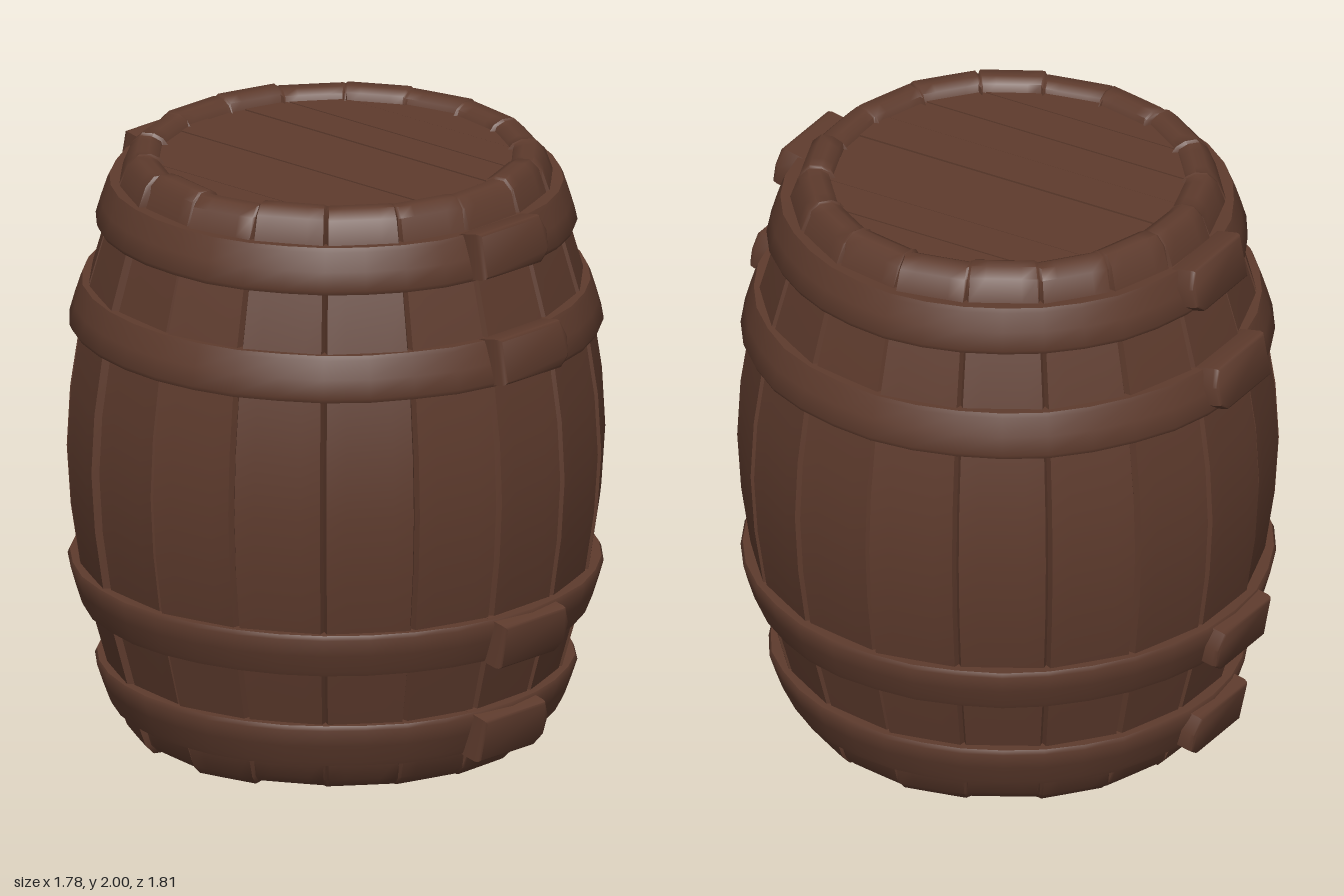
import * as THREE from 'three';
import { toCreasedNormals } from 'three/addons/utils/BufferGeometryUtils.js';

const STAVES = 18, STEP = (Math.PI * 2) / STAVES;

// Seeded random in -1..1
let seed = 11;
const rand = () => ((seed = (seed * 16807) % 2147483647) / 2147483647) * 2 - 1;

// Sweeps a profile round the y axis; point(i, j) gives [angle, radius, y]
function sweep(cols, rows, point, crease) {
  const pos = [], index = [];
  for (let j = 0; j < rows; j++) {
    for (let i = 0; i < cols; i++) {
      const [a, r, y] = point(i, j);
      pos.push(r * Math.sin(a), y, r * Math.cos(a));
      if (i < cols - 1 && j < rows - 1) {
        const k = j * cols + i;
        index.push(k, k + 1, k + cols + 1, k, k + cols + 1, k + cols);
      }
    }
  }
  const g = new THREE.BufferGeometry();
  g.setAttribute('position', new THREE.Float32BufferAttribute(pos, 3));
  g.setIndex(index);
  return toCreasedNormals(g, crease);
}

export function createModel() {
  const barrel = new THREE.Group();
  barrel.name = 'barrel';
  const wood = new THREE.MeshStandardMaterial({ color: 0x5e3b2d, side: THREE.DoubleSide });
  wood.name = 'dark brown wood';
  const add = (geometry, name, parent = barrel) => {
    const mesh = new THREE.Mesh(geometry, wood);
    mesh.name = name;
    parent.add(mesh);
    return mesh;
  };

  // Staves: bulging profile that rolls over the rim at both ends
  const profile = [
    [0.575, 0.06], [0.585, 0.025], [0.615, 0.01], [0.655, 0.01], [0.685, 0.04], [0.715, 0.12],
    [0.755, 0.27], [0.805, 0.45], [0.84, 0.6], [0.87, 0.8], [0.883, 1.0], [0.872, 1.2],
    [0.842, 1.4], [0.81, 1.55], [0.755, 1.74], [0.71, 1.89], [0.685, 1.96], [0.655, 1.99],
    [0.615, 1.99], [0.585, 1.975], [0.575, 1.94],
  ];
  const across = [-0.5, -0.465, -0.25, 0, 0.25, 0.465, 0.5];
  const staves = new THREE.Group();
  staves.name = 'staves';
  barrel.add(staves);
  for (let s = 0; s < STAVES; s++) {
    const swell = rand() * 0.006, lift = rand() * 0.01, lean = rand() * 0.01;
    add(sweep(across.length, profile.length, (i, j) => {
      const [r, y] = profile[j];
      const u = across[i], seam = i === 0 || i === across.length - 1;
      const rim = y < 0.05 || y > 1.95;
      const chord = 1 - 0.014 * (1 - 4 * u * u);
      const radius = r * chord + (seam ? (rim ? -0.008 : -0.024) : swell + lean * u);
      return [(s + u) * STEP, radius, y + (rim && !seam ? lift : 0)];
    }, 0.9), 'stave', staves);
  }

  // Heads: planks running front to back, cut to the round, over a backing disc
  const PLANKS = 8, R = 0.605;
  for (const [name, y, dir] of [['topHead', 1.945, 1], ['bottomHead', 0.055, -1]]) {
    const head = new THREE.Group();
    head.name = name;
    barrel.add(head);
    const disc = new THREE.CylinderGeometry(R, R, 0.02, 36);
    add(disc, 'headBacking', head).position.y = y - dir * 0.025;
    for (let p = 0; p < PLANKS; p++) {
      const x0 = -R + (2 * R * p) / PLANKS + 0.002, x1 = x0 + (2 * R) / PLANKS - 0.004;
      const edge = [];
      for (let k = 0; k <= 6; k++) {
        const x = x0 + ((x1 - x0) * k) / 6;
        edge.push(new THREE.Vector2(x, Math.sqrt(Math.max(0, R * R - x * x))));
      }
      const far = edge.map((v) => new THREE.Vector2(v.x, -v.y - 0.0005)).reverse();
      const plank = new THREE.ExtrudeGeometry(new THREE.Shape([...edge, ...far]), { depth: 0.02, bevelEnabled: false });
      plank.rotateX(-Math.PI / 2);
      add(plank, 'headPlank', head).position.y = y - 0.01 + rand() * 0.002;
    }
  }

  // Hoops: [bottom y, top y, bottom radius, top radius], each with two clasps
  const hoops = [
    [0.11, 0.26, 0.738, 0.78], [0.45, 0.6, 0.832, 0.868],
    [1.4, 1.55, 0.868, 0.832], [1.74, 1.89, 0.78, 0.742],
  ];
  for (const [y0, y1, r0, r1] of hoops) {
    const hoop = new THREE.Group();
    hoop.name = 'hoop';
    barrel.add(hoop);
    const h = y1 - y0, mid = (r0 + r1) / 2;
    const section = [
      [r0 - 0.06, y0 + 0.002], [r0 - 0.004, y0], [r0 + 0.003, y0 + 0.015], [mid + 0.004, y0 + h / 2],
      [r1 + 0.003, y1 - 0.015], [r1 - 0.004, y1], [r1 - 0.06, y1 - 0.002],
    ];
    const wobble = Array.from({ length: 36 }, () => rand() * 0.004);
    add(sweep(37, section.length, (i, j) => [
      (i * STEP) / 2, section[j][0] + wobble[i % 36], section[j][1],
    ], 0.9), 'hoopBand', hoop);

    // Clasps: overlapping strap ends, blunt on one side and rounded on the other
    for (const side of [1, -1]) {
      const outline = [
        [-0.155, -0.45], [0.1, -0.47], [0.135, -0.3], [0.142, 0.1], [0.12, 0.44], [-0.155, 0.45],
      ].map(([x, y]) => new THREE.Vector2(x * side, y * h));
      let strap = new THREE.ExtrudeGeometry(new THREE.Shape(outline), {
        depth: 0.07, bevelThickness: 0.018, bevelSize: 0.01, bevelSegments: 2,
      });
      strap = toCreasedNormals(strap, 0.8);
      const pivot = new THREE.Group();
      pivot.name = side > 0 ? 'frontClasp' : 'backClasp';
      pivot.rotation.y = side > 0 ? 0 : Math.PI;
      hoop.add(pivot);
      const clasp = add(strap, 'claspStrap', pivot);
      clasp.position.set(0, y0 + h / 2, mid - 0.045);
      clasp.rotation.x = Math.atan2(r1 - r0, h) * 0.8;
    }
  }
  return barrel;
}
